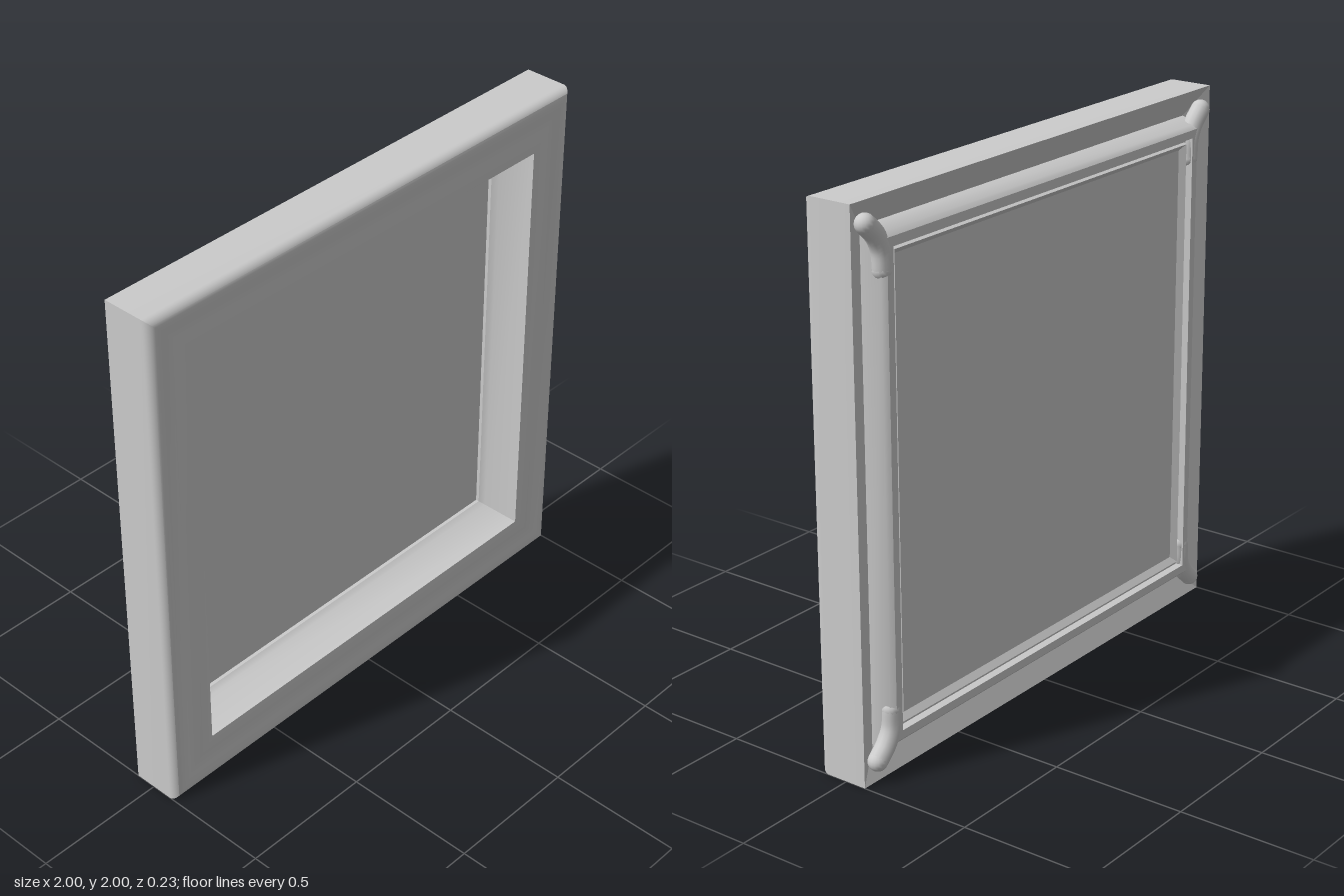
import * as THREE from 'three';
import { toCreasedNormals } from 'three/addons/utils/BufferGeometryUtils.js';

const material = new THREE.MeshStandardMaterial({ color: 0xcccccc, side: THREE.DoubleSide });

function addMesh(parent, name, geometry) {
  const mesh = new THREE.Mesh(geometry, material);
  mesh.name = name;
  parent.add(mesh);
  return mesh;
}

// Sweeps a closed [distance from centre, z] profile around a mitred square
function squareRing(profile) {
  const points = profile.map(([u, z]) => new THREE.Vector2(u * Math.SQRT2, z));
  const geometry = new THREE.LatheGeometry(points, 4, Math.PI / 4).rotateX(Math.PI / 2);
  geometry.deleteAttribute('normal');
  return toCreasedNormals(geometry, 0.6);
}

export function createModel() {
  const model = new THREE.Group();
  model.name = 'pictureFrame';
  const frame = new THREE.Group();
  frame.name = 'frame';
  frame.position.y = 1;
  model.add(frame);

  // Moulding: outer wall, rounded front edge, gently waved face, inner wall
  const profile = [[1, -0.08], [1, 0.08]];
  for (let i = 1; i <= 6; i++) {
    const a = (i / 6) * Math.PI / 2;
    profile.push([0.965 + 0.035 * Math.cos(a), 0.08 + 0.035 * Math.sin(a)]);
  }
  profile.push(
    [0.945, 0.114], [0.925, 0.109], [0.905, 0.107], [0.885, 0.108], [0.865, 0.111], [0.84, 0.112], [0.815, 0.11],
    [0.81, -0.04], [0.796, -0.06], [0.796, -0.08],
    // Stepped ridge and hollow slope on the back
    [0.82, -0.102], [0.825, -0.09], [0.836, -0.09], [0.84, -0.115], [0.87, -0.115], [0.885, -0.1],
    [0.9, -0.03], [1, -0.08]
  );
  addMesh(frame, 'moulding', squareRing(profile));

  // Flat panel closing the opening
  addMesh(frame, 'panel', new THREE.BoxGeometry(1.61, 1.61, 0.01)).position.z = -0.078;

  // Curled ridge ends flaring out to each back corner
  for (const sx of [-1, 1]) {
    for (const sy of [-1, 1]) {
      const corner = new THREE.Group();
      corner.name = 'cornerCurl';
      frame.add(corner);
      const path = [[0.86, 0.76], [0.865, 0.83], [0.89, 0.88], [0.935, 0.925]]
        .map(([x, y]) => new THREE.Vector3(sx * x, sy * y, -0.083));
      const curve = new THREE.CatmullRomCurve3(path);
      addMesh(corner, 'curl', new THREE.TubeGeometry(curve, 12, 0.035, 12));
      for (const end of [path[0], path[3]]) {
        addMesh(corner, 'curlEnd', new THREE.SphereGeometry(0.035, 16, 10)).position.copy(end);
      }
    }
  }
  return model;
}
